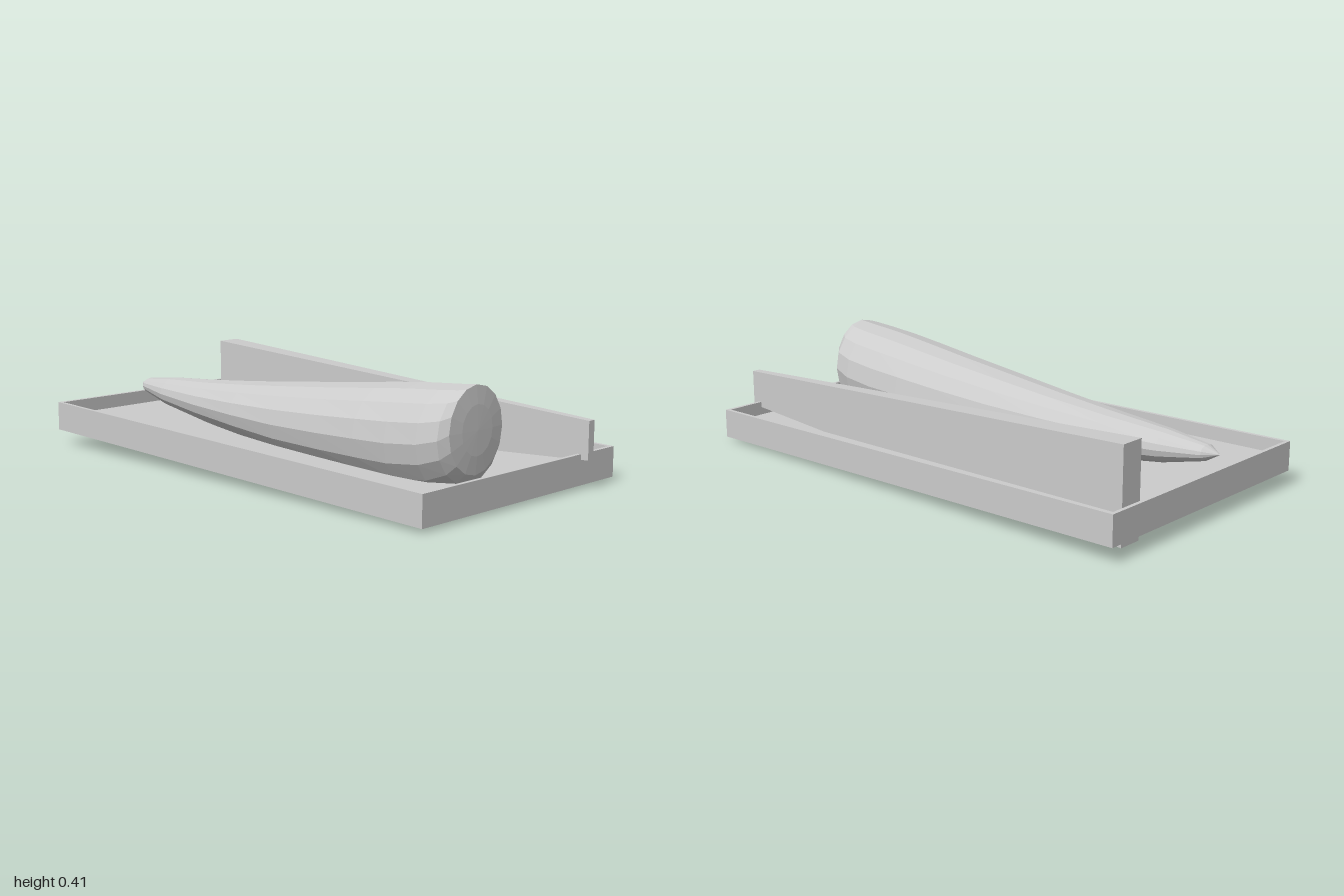
import * as THREE from 'three';

const material = new THREE.MeshStandardMaterial({ color: 0xcccccc, flatShading: true });

function addMesh(parent, name, geometry) {
  geometry.computeVertexNormals();
  const mesh = new THREE.Mesh(geometry, material);
  mesh.name = name;
  parent.add(mesh);
  return mesh;
}

// Moves every vertex by a rule that edits it in place.
function deform(geometry, rule) {
  const p = geometry.attributes.position;
  const v = new THREE.Vector3();
  for (let i = 0; i < p.count; i++) {
    rule(v.fromBufferAttribute(p, i));
    p.setXYZ(i, v.x, v.y, v.z);
  }
  return geometry;
}

// Skins elliptical sections [z, centreY, radiusX, radiusY], ordered back to front.
function loft(sections, sides, centreX) {
  const positions = [];
  const index = [];
  for (const [z, cy, rx, ry] of sections) {
    for (let i = 0; i < sides; i++) {
      const a = (i / sides) * Math.PI * 2;
      positions.push(centreX + Math.cos(a) * rx, cy + Math.sin(a) * ry, z);
    }
  }
  for (let s = 0; s < sections.length - 1; s++) {
    for (let i = 0; i < sides; i++) {
      const j = (i + 1) % sides;
      const a = s * sides + i, b = s * sides + j;
      const c = b + sides, d = a + sides;
      if (sections[s][2] > 0) index.push(a, b, c);
      if (sections[s + 1][2] > 0) index.push(a, c, d);
      else index.push(a, b, c);
    }
  }
  const geometry = new THREE.BufferGeometry();
  geometry.setAttribute('position', new THREE.Float32BufferAttribute(positions, 3));
  geometry.setIndex(index);
  return geometry;
}

function rectangle(Type, w, d) {
  return new Type([
    new THREE.Vector2(-w / 2, -d / 2), new THREE.Vector2(w / 2, -d / 2),
    new THREE.Vector2(w / 2, d / 2), new THREE.Vector2(-w / 2, d / 2),
  ]);
}

export function createModel() {
  const model = new THREE.Group();
  model.name = 'trayWithTaperedBodyAndWedge';

  // Shallow tray, rising slightly toward the back
  const tray = new THREE.Group();
  tray.name = 'tray';
  model.add(tray);
  const width = 1.045, depth = 1.97, floorHeight = 0.06, rimHeight = 0.053;
  const tilt = (v) => { v.y += 0.037 - v.z * 0.0228; v.z -= 0.015; };

  const floor = new THREE.BoxGeometry(width, floorHeight, depth);
  floor.translate(0, floorHeight / 2, 0);
  addMesh(tray, 'trayFloor', deform(floor, tilt));

  const outline = rectangle(THREE.Shape, width, depth);
  outline.holes.push(rectangle(THREE.Path, width - 0.03, depth - 0.03));
  const rim = new THREE.ExtrudeGeometry(outline, { depth: rimHeight, bevelEnabled: false });
  rim.rotateX(-Math.PI / 2).translate(0, floorHeight, 0);
  addMesh(tray, 'trayRim', deform(rim, tilt));

  // Tapered body with a pointed back and a blunt, gently domed front
  const sections = [
    [-0.97, 0.21, 0, 0],
    [-0.915, 0.207, 0.042, 0.03],
    [-0.75, 0.197, 0.08, 0.06],
    [-0.5, 0.188, 0.115, 0.087],
    [-0.25, 0.184, 0.143, 0.114],
    [0, 0.183, 0.166, 0.142],
    [0.25, 0.19, 0.182, 0.162],
    [0.45, 0.198, 0.191, 0.178],
    [0.6, 0.204, 0.193, 0.189],
    [0.74, 0.218, 0.188, 0.186],
    [0.82, 0.238, 0.17, 0.172],
    [0.847, 0.257, 0.14, 0.156],
    [0.853, 0.257, 0.08, 0.09],
    [0.855, 0.257, 0, 0],
  ];
  addMesh(model, 'taperedBody', loft(sections, 16, -0.113));

  // Long wedge, wide and tall at the back, narrow at the front
  const wedge = deform(new THREE.BoxGeometry(1, 1, 1), (v) => {
    const front = v.z > 0;
    v.x = 0.337 + v.x * (front ? 0.032 : 0.095);
    v.y = front ? 0.18 + v.y * 0.142 : 0.1775 + v.y * 0.355;
    v.z = front ? 1 : -0.93;
  });
  addMesh(model, 'wedge', wedge);

  return model;
}
